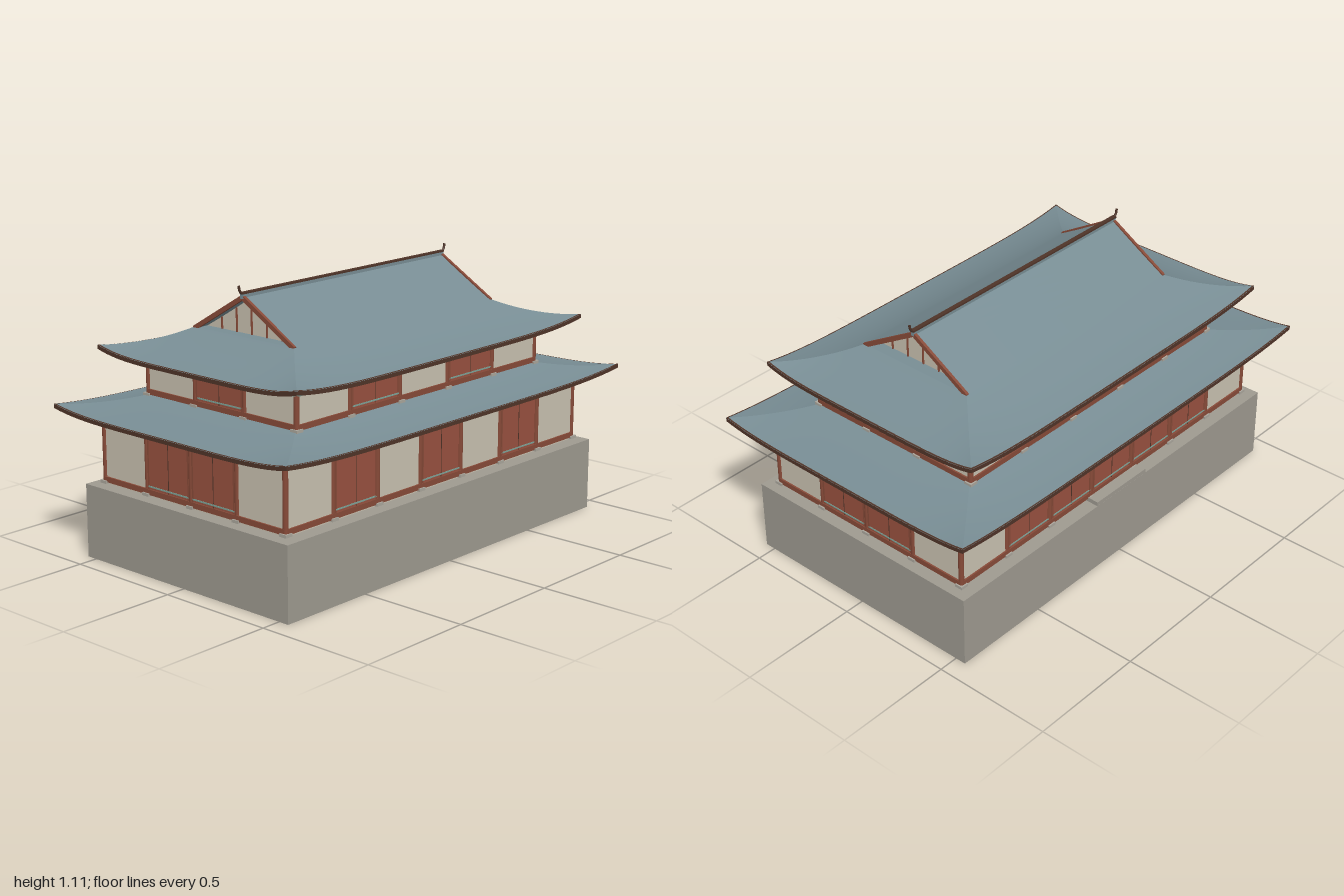
import * as THREE from 'three';
import { ParametricGeometry } from 'three/addons/geometries/ParametricGeometry.js';

const mat = (color, side = THREE.FrontSide) => new THREE.MeshStandardMaterial({ color, side });
const STONE = mat(0x9e9a90), PAD = mat(0xaaa69c), CREAM = mat(0xc9c1b0), RED = mat(0x98513f);
const WOOD = mat(0x874a38), TEAL = mat(0x7da398), BROWN = mat(0x4f3428, THREE.DoubleSide);
const TILE = mat(0x788d94, THREE.DoubleSide), GABLE = mat(0xc9c1b0, THREE.DoubleSide);

function add(parent, name, geometry, material, x = 0, y = 0, z = 0) {
  const mesh = new THREE.Mesh(geometry, material);
  mesh.name = name;
  mesh.position.set(x, y, z);
  parent.add(mesh);
  return mesh;
}

function group(parent, name) {
  const g = new THREE.Group();
  g.name = name;
  parent.add(g);
  return g;
}

// Box given by its vertical range
function block(parent, name, material, w, y0, y1, d, x = 0, z = 0) {
  return add(parent, name, new THREE.BoxGeometry(w, y1 - y0, d), material, x, (y0 + y1) / 2, z);
}

function sheet(parent, name, material, fn, nu, nv) {
  return add(parent, name, new ParametricGeometry((u, v, p) => p.set(...fn(u, v)), nu, nv), material);
}

// One wall facing +z, with a column at each position and a door where the bay is flagged
function wall(parent, name, cols, dist, doors, y0, y1) {
  const g = group(parent, name);
  const half = cols[cols.length - 1];
  block(g, 'sill', WOOD, half * 2, y0, y0 + 0.022, 0.022, 0, dist);
  block(g, 'tieBeam', TEAL, half * 2 + 0.05, y1 - 0.028, y1 - 0.016, 0.022, 0, dist);
  block(g, 'topPlate', WOOD, half * 2 + 0.02, y1 - 0.006, y1, 0.026, 0, dist);
  cols.forEach((x, i) => {
    add(g, 'column', new THREE.CylinderGeometry(0.011, 0.011, y1 - y0, 12), WOOD, x, (y0 + y1) / 2, dist);
    block(g, 'columnPad', PAD, 0.034, y0 - 0.006, y0 + 0.006, 0.034, x, dist);
    block(g, 'capital', WOOD, 0.034, y1 - 0.022, y1 - 0.008, 0.034, x, dist);
    block(g, 'bracket', TEAL, 0.052, y1 - 0.014, y1 - 0.007, 0.04, x, dist);
    if (i === cols.length - 1) return;
    const w = cols[i + 1] - x, cx = x + w / 2;
    if (!doors[i]) {
      block(g, 'plasterPanel', CREAM, w, y0 + 0.02, y1, 0.008, cx, dist);
      return;
    }
    block(g, 'door', RED, w, y0 + 0.02, y1 - 0.028, 0.012, cx, dist);
    block(g, 'doorLintel', CREAM, w, y1 - 0.02, y1, 0.008, cx, dist);
    block(g, 'doorSplit', BROWN, 0.003, y0 + 0.02, y1 - 0.04, 0.014, cx, dist);
    for (const y of [y0 + 0.03, y1 - 0.043])
      block(g, 'doorRail', TEAL, w - 0.02, y, y + 0.006, 0.016, cx, dist);
    for (const s of [-1, 1])
      block(g, 'doorJamb', WOOD, 0.008, y0 + 0.02, y1 - 0.028, 0.016, cx + s * (w / 2 - 0.012), dist);
  });
  return g;
}

function storey(parent, name, xs, zs, y0, y1, front, back, side) {
  const g = group(parent, name);
  const hx = xs[xs.length - 1], hz = zs[zs.length - 1];
  block(g, 'core', CREAM, hx * 2 - 0.01, y0 - 0.012, y1 + 0.006, hz * 2 - 0.01);
  wall(g, 'frontWall', xs, hz, front, y0, y1);
  wall(g, 'backWall', xs, hz, back, y0, y1).rotation.y = Math.PI;
  wall(g, 'leftWall', zs, hx, side, y0, y1).rotation.y = Math.PI / 2;
  wall(g, 'rightWall', zs, hx, side, y0, y1).rotation.y = -Math.PI / 2;
}

// Hipped skirt roof with concave slopes and upturned corners
function skirtRoof(parent, name, outer, inner, yEave, yTop, lift, thick) {
  const g = group(parent, name);
  for (let k = 0; k < 4; k++) {
    const a = k % 2, b = 1 - a;
    const point = (u, t, drop) => {
      const s = u * 2 - 1;
      const y = yEave + (yTop - yEave) * (0.55 * t + 0.45 * t * t)
        + lift * Math.pow(Math.abs(s), 5) * (1 - t) ** 2 - drop;
      return [s * THREE.MathUtils.lerp(outer[a], inner[a], t), y,
        THREE.MathUtils.lerp(outer[b], inner[b], t)];
    };
    const side = group(g, ['frontSlope', 'leftSlope', 'backSlope', 'rightSlope'][k]);
    side.rotation.y = k * Math.PI / 2;
    sheet(side, 'tiles', TILE, (u, v) => point(u, v, 0), 40, 10);
    sheet(side, 'soffit', TILE, (u, v) => point(1 - u, v, thick), 40, 10);
    sheet(side, 'eaveBoard', BROWN, (u, v) => point(u, 0, thick * (1 - v)), 40, 1);
    sheet(side, 'eaveEdge', BROWN, (u, v) => {
      const p = point(u, v * 0.025, 0);
      return [p[0], p[1] + 0.001, p[2]];
    }, 40, 1);
  }
}

// Ridge block, gable slopes, gable walls and barge boards
function gableRoof(parent) {
  const g = group(parent, 'gableRoof');
  const X = 0.585, Z = 0.265, Y = 0.915, TOP = 1.072, WALL = 0.535;
  const slope = Math.hypot(Z, TOP - Y), angle = Math.atan2(TOP - Y, Z);
  const rise = (v) => Y + (TOP - Y) * (0.95 * v + 0.05 * v * v);
  const tri = new THREE.Shape([[-Z, Y - 0.01], [Z, Y - 0.01], [0, TOP - 0.01]]
    .map((p) => new THREE.Vector2(...p)));
  for (const s of [-1, 1]) {
    for (const drop of [0, 0.012])
      sheet(g, drop ? 'slopeLining' : 'gableSlope', TILE,
        (u, v) => [(u * 2 - 1) * X * s, rise(v) - drop, s * Z * (1 - v)], 8, 8);
    // Hip tiles running in below the gable
    block(g, 'gableLedge', TILE, X - WALL + 0.01, Y - 0.012, Y, Z * 2, s * (X + WALL - 0.01) / 2);
    add(g, 'gableWall', new THREE.ShapeGeometry(tri), GABLE, s * WALL).rotation.y = s * Math.PI / 2;
    for (let i = -2; i <= 2; i++) {
      const z = i * 0.08;
      block(g, 'gableBatten', WOOD, 0.006, Y, TOP - 0.015 - Math.abs(z) * (TOP - Y) / Z, 0.005, s * (WALL + 0.003), z);
    }
    for (const q of [-1, 1]) {
      add(g, 'bargeBoard', new THREE.BoxGeometry(0.012, 0.018, slope), WOOD,
        s * (X - 0.002), (Y + TOP) / 2 - 0.005, q * Z / 2).rotation.x = q * angle;
    }
    // Upturned ridge end
    const horn = new THREE.CatmullRomCurve3([[0.57, 1.08], [0.59, 1.083], [0.6, 1.095], [0.604, 1.113]]
      .map(([x, y]) => new THREE.Vector3(s * x, y, 0)));
    add(g, 'ridgeFinial', new THREE.TubeGeometry(horn, 10, 0.005, 8), BROWN);
  }
  block(g, 'ridge', TILE, X * 2 + 0.01, 1.062, 1.08, 0.016);
  block(g, 'ridgeCap', BROWN, X * 2 + 0.014, 1.08, 1.087, 0.018);
}

export function createModel() {
  const model = new THREE.Group();
  model.name = 'hall';
  block(model, 'podium', STONE, 1.836, 0, 0.3, 1.09);
  block(model, 'backStep', STONE, 0.3, 0.3, 0.318, 0.075, 0, -0.507);

  const lowerX = Array.from({ length: 8 }, (_, i) => (i - 3.5) * 0.247);
  const lowerZ = Array.from({ length: 5 }, (_, i) => (i - 2) * 0.2425);
  storey(model, 'lowerStorey', lowerX, lowerZ, 0.312, 0.594,
    [0, 1, 0, 1, 0, 1, 0], [0, 1, 1, 1, 1, 1, 0], [0, 1, 1, 0]);
  skirtRoof(model, 'lowerRoof', [1, 0.622], [0.71, 0.39], 0.6, 0.65, 0.025, 0.016);

  const upperX = [-0.71, -0.427, -0.142, 0.142, 0.427, 0.71];
  const upperZ = [-0.395, -0.132, 0.132, 0.395];
  storey(model, 'upperStorey', upperX, upperZ, 0.65, 0.812,
    [0, 1, 0, 1, 0], [0, 1, 1, 1, 0], [0, 1, 0]);
  skirtRoof(model, 'upperRoof', [0.85, 0.53], [0.585, 0.265], 0.818, 0.915, 0.03, 0.016);
  gableRoof(model);
  return model;
}
